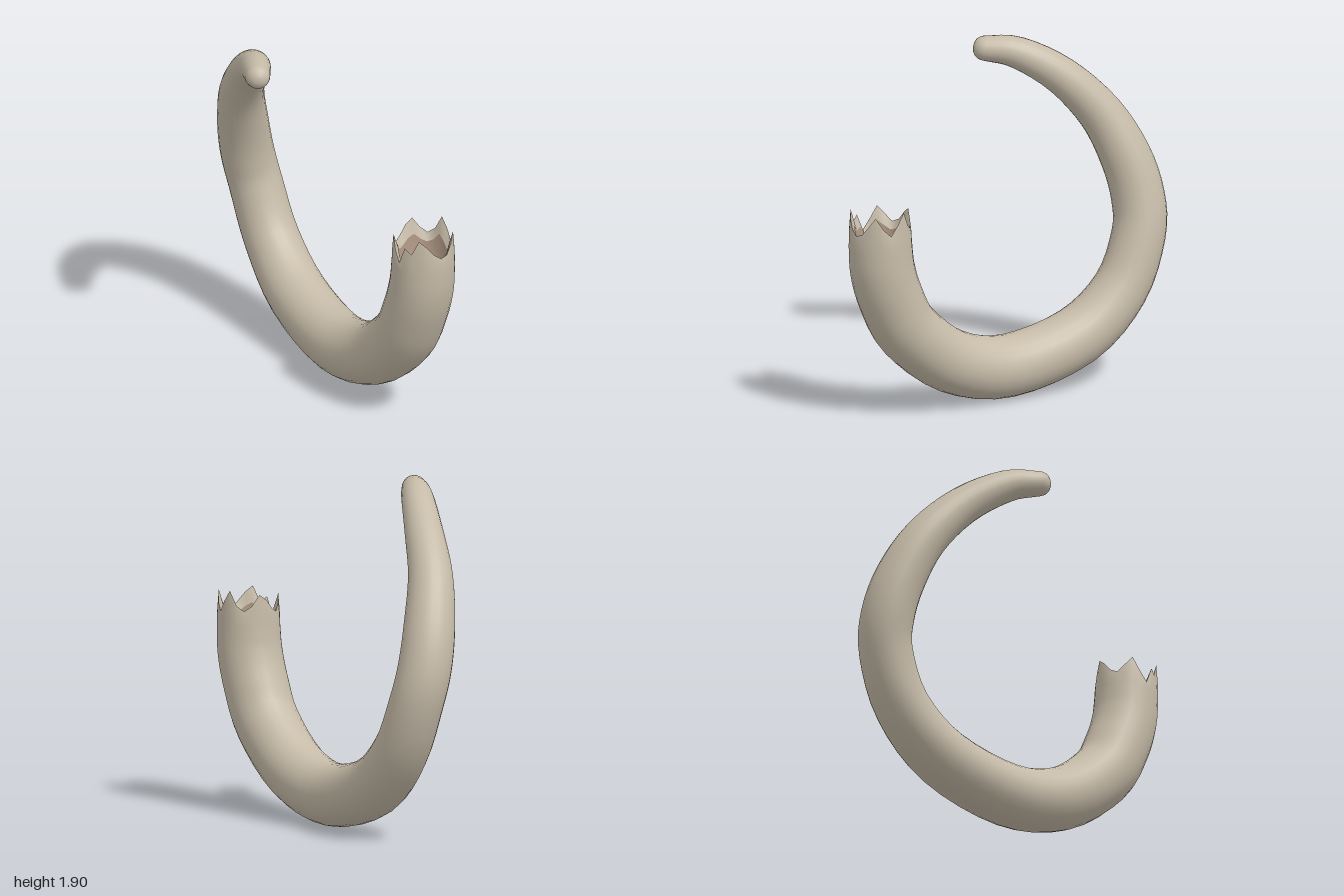
import * as THREE from 'three';

const SIDES = 24;

// Skin a list of rings (arrays of Vector3); optionally close the end with an apex.
function loft(rings, apex) {
  const pos = [], index = [];
  rings.forEach(ring => ring.forEach(p => pos.push(p.x, p.y, p.z)));
  for (let i = 0; i < rings.length - 1; i++) {
    for (let j = 0; j < SIDES; j++) {
      const k = (j + 1) % SIDES;
      const a = i * SIDES + j, b = i * SIDES + k;
      index.push(a, b, a + SIDES, b, b + SIDES, a + SIDES);
    }
  }
  if (apex) {
    const base = (rings.length - 1) * SIDES;
    pos.push(apex.x, apex.y, apex.z);
    for (let j = 0; j < SIDES; j++) index.push(base + j, base + (j + 1) % SIDES, rings.length * SIDES);
  }
  const geo = new THREE.BufferGeometry();
  geo.setAttribute('position', new THREE.Float32BufferAttribute(pos, 3));
  geo.setIndex(index);
  geo.computeVertexNormals();
  return geo;
}

function circle(c, u, v, r) {
  return Array.from({ length: SIDES }, (_, j) => {
    const a = j / SIDES * Math.PI * 2;
    return c.clone().addScaledVector(u, r * Math.cos(a)).addScaledVector(v, r * Math.sin(a));
  });
}

export function createModel() {
  const group = new THREE.Group();
  group.name = 'tusk';
  const ivory = new THREE.MeshStandardMaterial({ color: 0xc6bba8, side: THREE.DoubleSide });
  ivory.name = 'ivory';
  const pulp = new THREE.MeshStandardMaterial({ color: 0xb09886, side: THREE.DoubleSide });
  pulp.name = 'pulp brown';

  // Centreline from root to tip: x, y, z, radius
  const path = [
    [0.825, 1.0, -0.10, 0.172], [0.81, 0.85, -0.10, 0.176], [0.755, 0.68, -0.10, 0.177],
    [0.64, 0.475, -0.105, 0.176], [0.36, 0.255, -0.12, 0.174], [0, 0.172, -0.143, 0.172],
    [-0.43, 0.275, -0.19, 0.165], [-0.70, 0.50, -0.215, 0.152], [-0.83, 0.78, -0.205, 0.147],
    [-0.855, 0.98, -0.165, 0.146], [-0.815, 1.2, -0.105, 0.139], [-0.71, 1.44, -0.02, 0.122],
    [-0.52, 1.66, 0.075, 0.104], [-0.31, 1.8, 0.19, 0.087], [-0.155, 1.83, 0.285, 0.068],
  ];
  const curve = new THREE.CatmullRomCurve3(path.map(p => new THREE.Vector3(p[0], p[1], p[2])), false, 'catmullrom');
  const radius = new THREE.CatmullRomCurve3(path.map(p => new THREE.Vector3(p[3], 0, 0)), false, 'catmullrom');

  // Jagged rim heights around the root, from +x towards +z
  const rim = [1.07, 1.10, 1.15, 1.185, 1.10, 1.13, 1.03, 1.09, 1.165, 1.12, 1.08, 1.10,
    1.15, 1.18, 1.12, 1.09, 1.12, 1.20, 1.14, 1.08, 1.12, 1.185, 1.13, 1.08];
  const X = new THREE.Vector3(1, 0, 0), Z = new THREE.Vector3(0, 0, 1);
  const rootRing = (r, heightAt) => circle(new THREE.Vector3(0.825, 0, -0.10), X, Z, r)
    .map((p, j) => p.setY(heightAt(rim[j])));
  const rimRing = () => rootRing(0.162, h => h);

  // Outer skin: broken rim, swept body, rounded tip
  const rings = [rimRing(), rootRing(0.17, h => 1.02 + (h - 1.02) * 0.35)];
  const u = X.clone(), v = new THREE.Vector3();
  const STEPS = 56;
  let c, t, r;
  for (let i = 0; i <= STEPS; i++) {
    c = curve.getPoint(i / STEPS);
    t = curve.getTangent(i / STEPS);
    r = radius.getPoint(i / STEPS).x;
    u.addScaledVector(t, -u.dot(t)).normalize();
    v.crossVectors(t, u);
    rings.push(circle(c, u, v, r));
  }
  for (const [along, scale] of [[0.35, 0.92], [0.65, 0.7], [0.82, 0.4]]) {
    rings.push(circle(c.clone().addScaledVector(t, r * along), u, v, r * scale));
  }
  const body = new THREE.Mesh(loft(rings, c.clone().addScaledVector(t, r * 0.88)), ivory);
  body.name = 'tuskBody';

  // Inner faces of the broken teeth
  const lipRing = () => rootRing(0.137, h => 0.99 + (h - 0.99) * 0.55);
  const lip = new THREE.Mesh(loft([lipRing(), rimRing()]), ivory);
  lip.name = 'brokenRim';

  // Hollow root, narrowing downwards (rings run from the bottom up so it faces inwards)
  const hollowRings = [rootRing(0.06, () => 0.87), rootRing(0.11, () => 0.9), rootRing(0.13, () => 0.98), lipRing()];
  const hollow = new THREE.Mesh(loft(hollowRings), pulp);
  hollow.name = 'rootHollow';
  const floor = new THREE.Mesh(new THREE.CircleGeometry(0.06, SIDES), pulp);
  floor.name = 'hollowFloor';
  floor.rotation.x = -Math.PI / 2;
  floor.position.set(0.825, 0.87, -0.10);

  group.add(body, lip, hollow, floor);
  return group;
}
